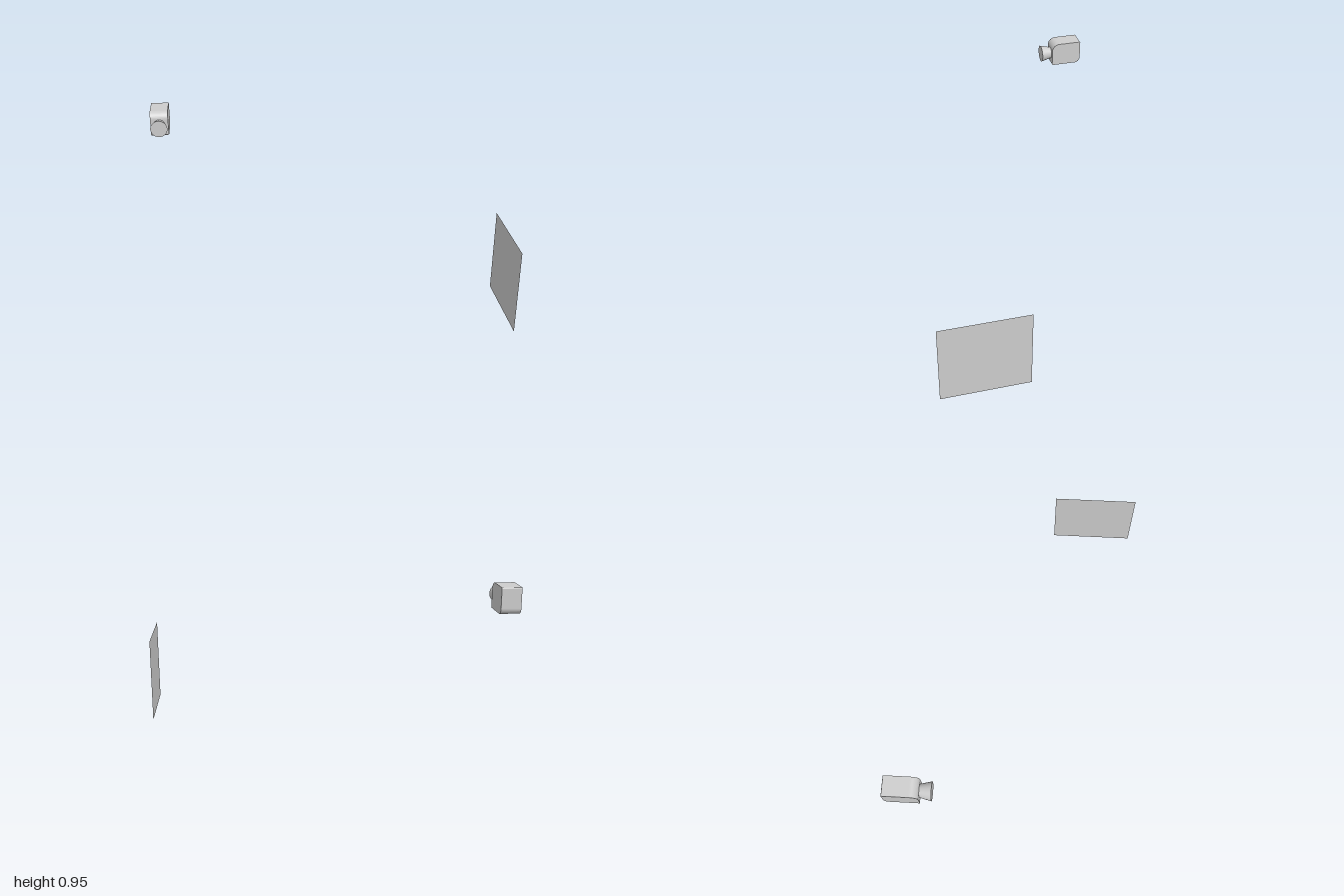
import * as THREE from 'three';

// Outline with a separate radius for each corner, in (z, y)
function roundedOutline(z0, z1, y0, y1, frontTop, backTop, backBottom, frontBottom) {
  const s = new THREE.Shape();
  const q = Math.PI / 2;
  s.absarc(z1 - frontBottom, y0 + frontBottom, frontBottom, -q, 0);
  s.absarc(z1 - frontTop, y1 - frontTop, frontTop, 0, q);
  s.absarc(z0 + backTop, y1 - backTop, backTop, q, 2 * q);
  s.absarc(z0 + backBottom, y0 + backBottom, backBottom, 2 * q, 3 * q);
  return s;
}

export function createModel() {
  const model = new THREE.Group();
  const grey = new THREE.MeshStandardMaterial({ color: 0xcccccc, side: THREE.DoubleSide });
  grey.name = 'light grey';

  const camera = new THREE.Group();
  camera.name = 'camera';
  model.add(camera);

  // Camera body: side outline extruded across the width
  const outline = roundedOutline(-0.66, -0.474, 0.81, 0.954, 0.045, 0.006, 0.034, 0.006);
  const bodyGeo = new THREE.ExtrudeGeometry(outline, { depth: 0.107, bevelEnabled: false, curveSegments: 10 });
  bodyGeo.rotateY(-Math.PI / 2);
  const body = new THREE.Mesh(bodyGeo, grey);
  body.name = 'cameraBody';
  body.position.x = -0.893;
  camera.add(body);

  // Lens hood: cone flaring towards the front
  const lensGeo = new THREE.CylinderGeometry(0.051, 0.033, 0.072, 40);
  lensGeo.rotateX(Math.PI / 2);
  const lens = new THREE.Mesh(lensGeo, grey);
  lens.name = 'lensHood';
  lens.position.set(-0.9465, 0.875, -0.446);
  camera.add(lens);

  // Flat panel standing opposite, turned very slightly in its own plane
  const panelGeo = new THREE.PlaneGeometry(0.495, 0.495);
  panelGeo.rotateZ(-0.008);
  panelGeo.rotateY(Math.PI / 2);
  const panel = new THREE.Mesh(panelGeo, grey);
  panel.name = 'panel';
  panel.position.set(1, 0.2495, 0.412);
  model.add(panel);

  return model;
}
